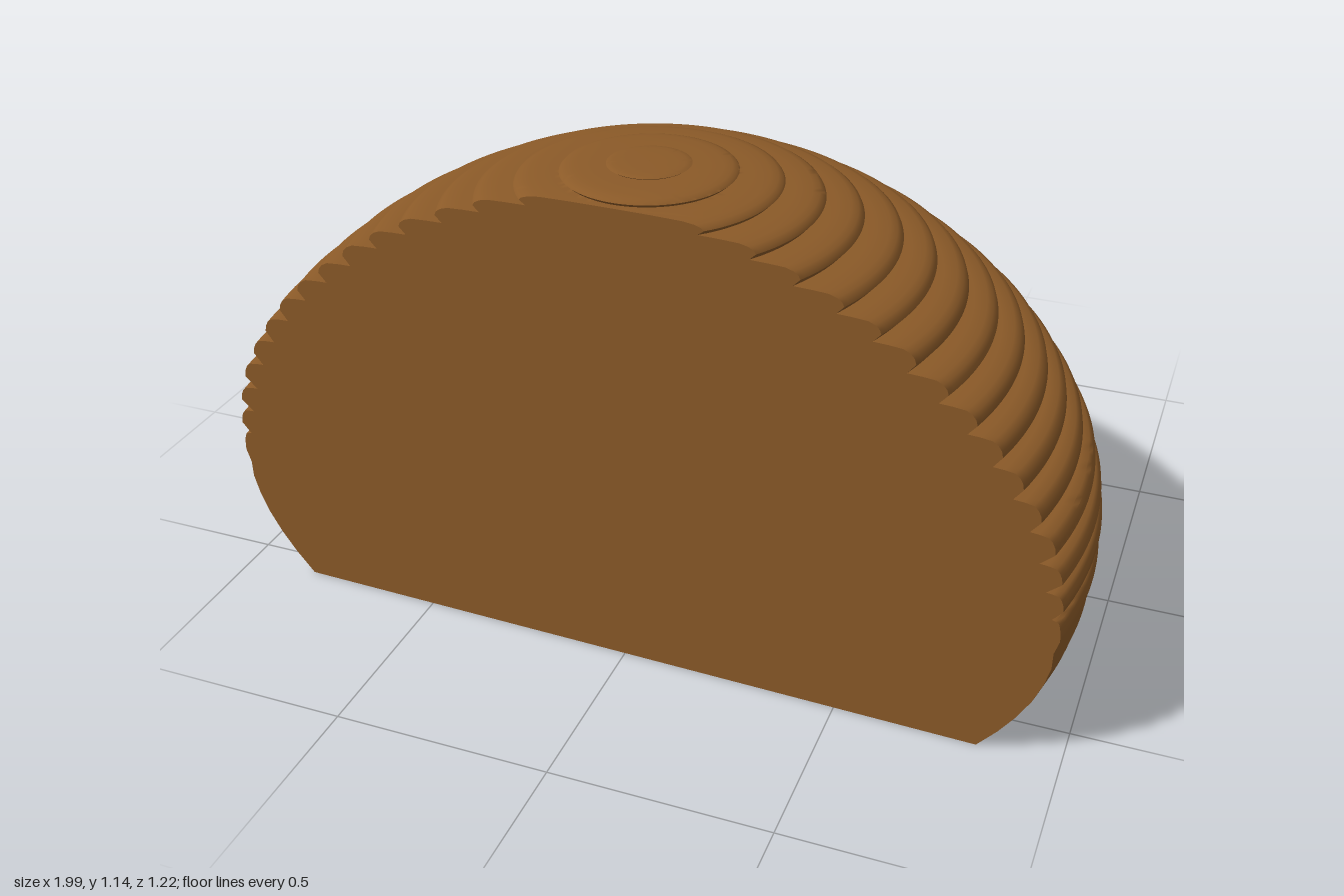
import * as THREE from 'three';
import { toCreasedNormals } from 'three/addons/utils/BufferGeometryUtils.js';

const AXIS_Z = 0.385;              // the dome's vertical axis
const TURN = -Math.atan(0.0275);   // slight turn of the cut wall
const CUT = 0.197;                 // distance from axis to cut wall

// Ridges from apex down: [tip radius, bottom height, undercut]
const RIDGES = [
  [0.09, 1.129, 0.004], [0.188, 1.11, 0.008], [0.283, 1.084, 0.01], [0.369, 1.05, 0.012],
  [0.45, 1.01, 0.014], [0.533, 0.967, 0.015], [0.605, 0.921, 0.016], [0.674, 0.866, 0.017],
  [0.739, 0.813, 0.018], [0.798, 0.757, 0.018], [0.851, 0.695, 0.018], [0.896, 0.631, 0.019],
  [0.936, 0.564, 0.021], [0.969, 0.495, 0.029], [0.988, 0.43, 0.03], [0.996, 0.367, 0.021],
  [0.996, 0.285, 0.01],
];
// Rounded lip of one ridge: [fraction outward, fraction down]
const LIP = [[0.35, 0.02], [0.7, 0.07], [0.86, 0.2], [0.96, 0.38], [1, 0.6]];

function makeProfile() {
  const pts = [[0.001, 1.136]];
  let r = 0.001, y = 1.136;
  for (const [tip, bottom, undercut] of RIDGES) {
    for (const [u, v] of LIP) pts.push([r + (tip - r) * u, y + (bottom - y) * v]);
    r = tip - undercut;
    y = bottom;
    pts.push([r, y]);
  }
  // smooth skirt curving in to the open bottom
  pts.push([0.985, 0.245], [0.973, 0.2], [0.953, 0.15], [0.925, 0.1], [0.89, 0.05], [0.848, 0]);
  // extra points where the profile crosses the cut wall
  const out = [];
  pts.forEach((p, i) => {
    const q = pts[i - 1];
    if (q && (q[0] - CUT) * (p[0] - CUT) < 0) {
      const t = (CUT - q[0]) / (p[0] - q[0]);
      out.push([CUT, q[1] + (p[1] - q[1]) * t]);
    }
    out.push(p);
  });
  return out.map(([a, b]) => new THREE.Vector2(a, b)).reverse();
}

export function createModel() {
  const model = new THREE.Group();
  model.name = 'ridgedDome';
  const brown = new THREE.MeshStandardMaterial({ color: 0x8b5a28, side: THREE.DoubleSide });
  brown.name = 'brown';
  const profile = makeProfile();

  // Ridged shell: each ring is swept only as far as the cut wall
  const segments = 128;
  const lathe = new THREE.LatheGeometry(profile, segments);
  const pos = lathe.attributes.position;
  for (let i = 0; i <= segments; i++) {
    profile.forEach((p, j) => {
      const a = Math.acos(Math.min(1, CUT / p.x));
      const phi = TURN + a + (i / segments) * 2 * (Math.PI - a);
      pos.setXYZ(i * profile.length + j, p.x * Math.sin(phi), p.y, p.x * Math.cos(phi));
    });
  }
  const shell = new THREE.Mesh(toCreasedNormals(lathe, 0.95), brown);
  shell.name = 'ridgedShell';
  shell.position.z = AXIS_Z;
  model.add(shell);

  // Flat front wall following the ridged outline
  const half = profile.filter(p => p.x >= CUT)
    .map(p => new THREE.Vector2(Math.sqrt(p.x * p.x - CUT * CUT), p.y));
  const other = half.filter(p => p.x > 0).map(p => new THREE.Vector2(-p.x, p.y)).reverse();
  const wallGeo = new THREE.ShapeGeometry(new THREE.Shape([...half, ...other]));
  wallGeo.translate(0, 0, CUT).rotateY(TURN);
  const wall = new THREE.Mesh(wallGeo, brown);
  wall.name = 'frontWall';
  wall.position.z = AXIS_Z;
  model.add(wall);

  return model;
}
